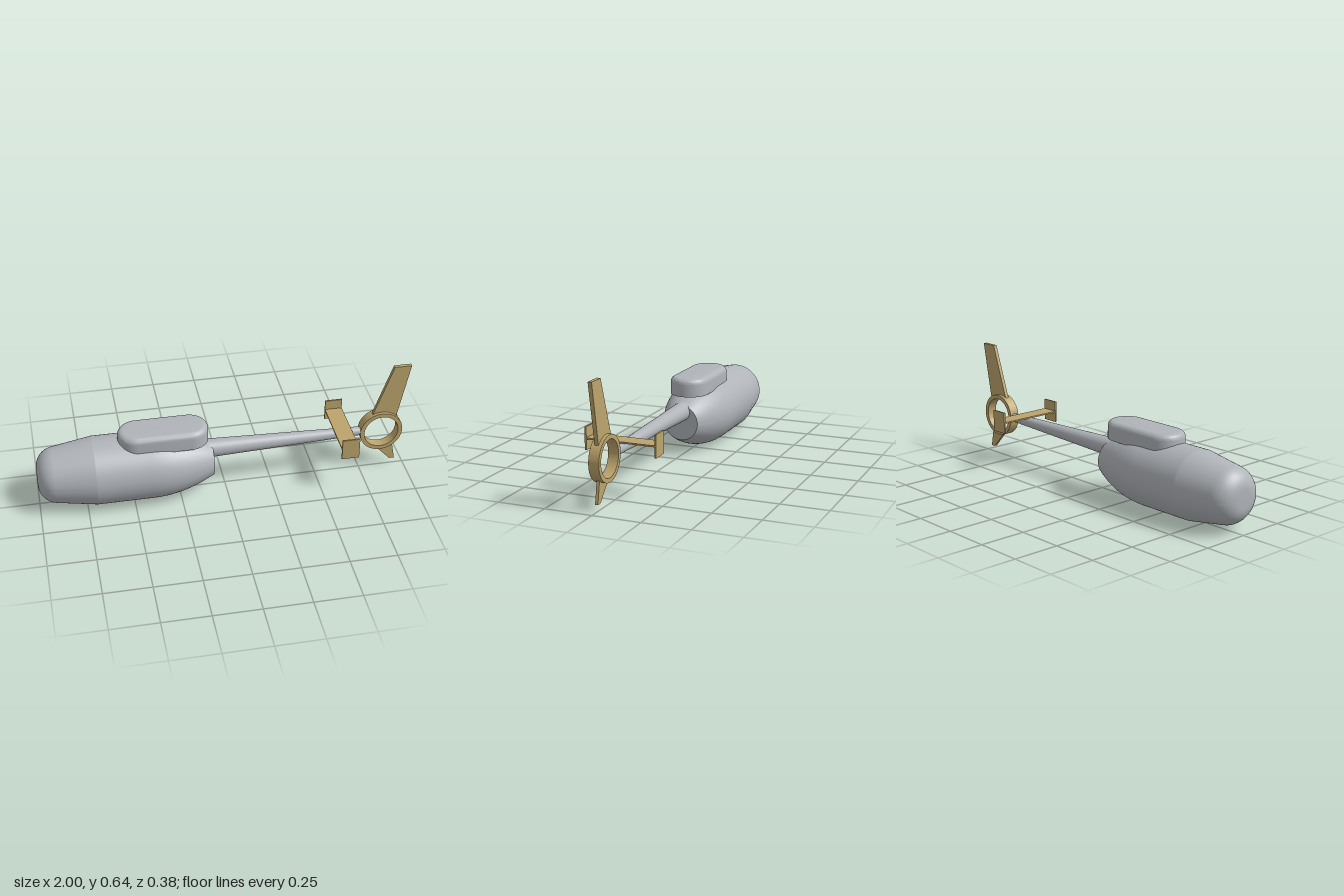
import * as THREE from 'three';
import { toCreasedNormals } from 'three/addons/utils/BufferGeometryUtils.js';
import { ConvexGeometry } from 'three/addons/geometries/ConvexGeometry.js';

export function createModel() {
  const model = new THREE.Group();
  model.name = 'helicopterBody';

  const grey = new THREE.MeshStandardMaterial({ color: 0xb0b4b9 });
  grey.name = 'hull grey';
  const tan = new THREE.MeshStandardMaterial({ color: 0xbca46c });
  tan.name = 'tail tan';

  const add = (name, geometry, material, x = 0, y = 0, z = 0) => {
    const mesh = new THREE.Mesh(geometry, material);
    mesh.name = name;
    mesh.position.set(x, y, z);
    model.add(mesh);
    return mesh;
  };

  // Fuselage: profile of (radius, station) turned around the x axis
  const profile = [new THREE.Vector2(0, -1)];
  for (let i = 0; i <= 16; i++) {
    const a = (i / 16) * THREE.MathUtils.degToRad(81);
    profile.push(new THREE.Vector2(0.045 + 0.105 * Math.sin(a), -0.895 - 0.105 * Math.cos(a)));
  }
  profile.push(new THREE.Vector2(0.182, -0.7));
  for (let i = 0; i <= 16; i++) {
    const t = i / 16;
    profile.push(new THREE.Vector2(0.182 - 0.087 * t * t, -0.4 + 0.33 * t));
  }
  profile.push(new THREE.Vector2(0, -0.07));
  const hull = new THREE.LatheGeometry(profile, 96).rotateZ(-Math.PI / 2);
  add('fuselage', toCreasedNormals(hull, 0.14), grey, 0, 0.183, 0);

  // Engine cowling: round-ended block with a filleted top edge
  const radius = 0.102, fillet = 0.03, top = 0.416;
  const layers = [[0.32, 0]];
  for (let i = 0; i <= 8; i++) {
    const a = (i / 8) * Math.PI / 2;
    layers.push([top - fillet + fillet * Math.sin(a), fillet * (1 - Math.cos(a))]);
  }
  const points = [];
  for (const [y, inset] of layers) {
    for (const [cx, side] of [[-0.192, 1], [-0.466, -1]]) {
      for (let i = 0; i <= 24; i++) {
        const a = (i / 24 - 0.5) * Math.PI;
        const r = radius - inset;
        points.push(new THREE.Vector3(cx + side * r * Math.cos(a), y, r * Math.sin(a)));
      }
    }
  }
  add('engineCowling', toCreasedNormals(new ConvexGeometry(points), 0.5), grey);

  // Tapered tail boom
  const boom = new THREE.CylinderGeometry(0.023, 0.051, 0.87, 48).rotateZ(-Math.PI / 2);
  add('tailBoom', boom, grey, 0.325, 0.243, 0);

  // Stabilizer with an upright plate at each tip
  add('stabilizer', new THREE.BoxGeometry(0.094, 0.008, 0.37), tan, 0.642, 0.272, 0);
  for (const side of [1, -1]) {
    add(side > 0 ? 'frontEndPlate' : 'backEndPlate',
      new THREE.BoxGeometry(0.094, 0.118, 0.009), tan, 0.642, 0.272, side * 0.1855);
  }

  // Plates cut from flat outlines, centred on z = 0
  const plate = (shape, depth) => new THREE.ExtrudeGeometry(shape, {
    depth, bevelEnabled: false, curveSegments: 48,
  }).translate(0, 0, -depth / 2);
  const outline = (pts) => new THREE.Shape(pts.map(([x, y]) => new THREE.Vector2(x, y)));

  // Tail rotor ring
  const ring = new THREE.Shape().absarc(0, 0, 0.117, 0, Math.PI * 2, false);
  ring.holes.push(new THREE.Path().absarc(0, 0, 0.094, 0, Math.PI * 2, true));
  add('tailRing', toCreasedNormals(plate(ring, 0.055), 0.5), tan, 0.857, 0.241, 0);

  // Fins rooted inside the ring wall
  add('upperFin', plate(outline([
    [0.803, 0.335], [0.857, 0.345], [0.91, 0.33], [0.936, 0.305], [1, 0.638], [0.908, 0.638],
  ]), 0.02), tan);
  add('lowerFin', plate(outline([
    [0.835, 0.13], [0.922, 0.037], [0.95, 0.037], [0.926, 0.165], [0.895, 0.148], [0.857, 0.14],
  ]), 0.015), tan);

  return model;
}
